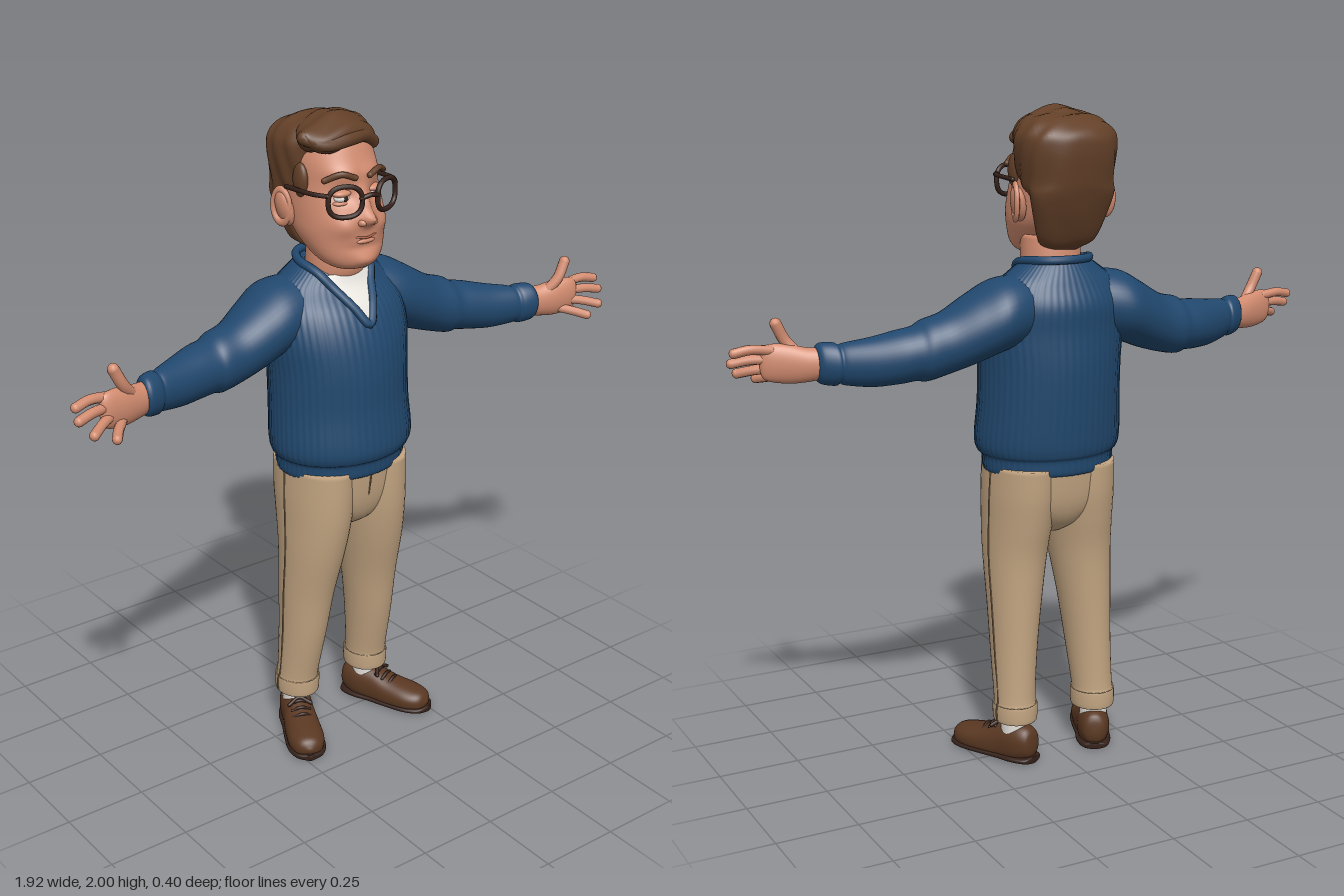
import * as THREE from 'three';

const mat = (name, color, side = THREE.FrontSide) => {
  const m = new THREE.MeshStandardMaterial({ color, side });
  m.name = name;
  return m;
};
const M = {
  sweater: mat('navy wool', 0x21486e),
  trousers: mat('khaki', 0xc3a582),
  seam: mat('khaki seam', 0x8f7355),
  skin: mat('skin', 0xd28c70),
  lip: mat('lip', 0xa9614c),
  hair: mat('brown hair', 0x634028),
  shoe: mat('brown leather', 0x5a3822),
  dark: mat('dark brown', 0x35211a),
  white: mat('white cotton', 0xebe8e2, THREE.DoubleSide),
};
const V = (x, y, z) => new THREE.Vector3(x, y, z);
const bump = (x, y, cx, cy, sx, sy) => Math.exp(-(((x - cx) / sx) ** 2) - ((y - cy) / sy) ** 2);

function add(parent, name, geo, material) {
  const mesh = new THREE.Mesh(geo, material);
  mesh.name = name;
  parent.add(mesh);
  return mesh;
}

// Catmull-Rom blend of whole section rows
function sample(rows, u) {
  const i = Math.min(Math.floor(u), rows.length - 2), t = u - i;
  const [a, b, c, d] = [rows[Math.max(i - 1, 0)], rows[i], rows[i + 1], rows[Math.min(i + 2, rows.length - 1)]];
  return b.map((p, k) => p + 0.5 * t * (c[k] - a[k] + t * (2 * a[k] - 5 * p + 4 * c[k] - d[k] + t * (3 * (p - c[k]) + d[k] - a[k]))));
}

// Closed loft along an axis (0 x, 1 y, 2 z).
// Row: [position, centre A, centre B, radius A, radius B]; B is the next axis, A the one after.
function loft(axis, rows, { seg = 40, sub = 5, n = 2, ribs = 0, warp } = {}) {
  const pos = [], idx = [], rings = (rows.length - 1) * sub;
  const put = (t, a, b) => {
    const p = [0, 0, 0];
    p[axis] = t; p[(axis + 1) % 3] = b; p[(axis + 2) % 3] = a;
    const v = V(...p);
    if (warp) warp(v);
    pos.push(v.x, v.y, v.z);
  };
  const pw = (c) => Math.sign(c) * Math.abs(c) ** (2 / n);
  for (let i = 0; i <= rings; i++) {
    const [t, a, b, ra, rb] = sample(rows, i / sub);
    for (let j = 0; j < seg; j++) {
      const th = (j / seg) * Math.PI * 2, k = ribs ? 1 + 0.005 * Math.cos(th * ribs) : 1;
      put(t, a + Math.max(ra, 0.0005) * k * pw(Math.sin(th)), b + Math.max(rb, 0.0005) * k * pw(Math.cos(th)));
    }
  }
  const flip = rows[0][0] > rows[rows.length - 1][0];
  const tri = (a, b, c) => (flip ? idx.push(a, c, b) : idx.push(a, b, c));
  const first = rows[0], last = rows[rows.length - 1], c0 = (rings + 1) * seg;
  put(first[0], first[1], first[2]);
  put(last[0], last[1], last[2]);
  for (let j = 0; j < seg; j++) {
    const k = (j + 1) % seg;
    for (let i = 0; i < rings; i++) {
      const a = i * seg + j, b = i * seg + k;
      tri(a, b, a + seg);
      tri(b, b + seg, a + seg);
    }
    tri(c0, k, j);
    tri(c0 + 1, rings * seg + j, rings * seg + k);
  }
  const g = new THREE.BufferGeometry();
  g.setAttribute('position', new THREE.Float32BufferAttribute(pos, 3));
  g.setIndex(idx);
  g.computeVertexNormals();
  return g;
}

const tube = (pts, r, closed = false, n = 32) =>
  new THREE.TubeGeometry(new THREE.CatmullRomCurve3(pts, closed), n, r, 10, closed);
// Tube with round ends
function rod(parent, name, pts, r, material) {
  add(parent, name, tube(pts, r, false, 14), material);
  for (const p of [pts[0], pts[pts.length - 1]])
    add(parent, name + 'End', new THREE.SphereGeometry(r, 12, 8), material).position.copy(p);
}
function ball(parent, name, p, s, material) {
  const m = add(parent, name, new THREE.SphereGeometry(1, 28, 18), material);
  m.position.set(...p);
  m.scale.set(...s);
  return m;
}

const torsoRows = [
  [0.915, 0, 0.005, 0.19, 0.15], [0.925, 0, 0.007, 0.204, 0.168], [0.965, 0, 0.008, 0.207, 0.172],
  [0.98, 0, 0.01, 0.22, 0.184], [1.02, 0, 0.01, 0.228, 0.192], [1.13, 0, 0, 0.222, 0.19],
  [1.25, 0, -0.005, 0.222, 0.19], [1.35, 0, -0.012, 0.23, 0.178], [1.43, 0, -0.03, 0.222, 0.16],
  [1.49, 0, -0.045, 0.19, 0.12], [1.53, 0, -0.045, 0.14, 0.1], [1.555, 0, -0.045, 0.105, 0.085]];

// Depth of the sweater front at a point
function chestZ(x, y) {
  let lo = 0, hi = torsoRows.length - 1;
  for (let i = 0; i < 30; i++) {
    const mid = (lo + hi) / 2;
    if (sample(torsoRows, mid)[0] < y) lo = mid; else hi = mid;
  }
  const [, , cz, rx, rz] = sample(torsoRows, lo);
  return cz + rz * Math.sqrt(Math.max(0, 1 - (x / rx) ** 2));
}

function buildTorso(g) {
  add(g, 'sweaterBody', loft(1, torsoRows, { seg: 240, ribs: 60 }), M.sweater);
  add(g, 'neck', loft(1, [[1.45, 0, -0.03, 0.09, 0.07], [1.5, 0, -0.025, 0.09, 0.08], [1.54, 0, -0.015, 0.092, 0.086], [1.63, 0, -0.01, 0.09, 0.08]]), M.skin);
  // Shirt showing in the V
  const shirt = new THREE.PlaneGeometry(2, 1, 16, 12), p = shirt.attributes.position;
  for (let i = 0; i < p.count; i++) {
    const t = p.getY(i) + 0.5, y = 1.4 + 0.13 * t, x = p.getX(i) * 0.088 * t;
    p.setXYZ(i, x, y, chestZ(x, y) + 0.006);
  }
  shirt.computeVertexNormals();
  add(g, 'shirtFront', shirt, M.white);
  const on = (x, y) => V(x, y, chestZ(x, y) + 0.004);
  add(g, 'sweaterCollar', tube([on(0, 1.395), on(0.035, 1.445), on(0.068, 1.495), on(0.094, 1.535), V(0.105, 1.557, -0.05),
    V(0.065, 1.562, -0.115), V(0, 1.563, -0.135), V(-0.065, 1.562, -0.115), V(-0.105, 1.557, -0.05),
    on(-0.094, 1.535), on(-0.068, 1.495), on(-0.035, 1.445)], 0.013, true, 96), M.sweater);
}

function buildArm(g, s) {
  // The left arm hangs slightly lower
  const dy = (x) => (s > 0 ? -0.03 * THREE.MathUtils.smoothstep(x, 0.3, 0.7) : 0);
  const rows = (list) => list.map(([x, z, y, rz, ry]) => [s * x, z, y + dy(x), rz, ry]);
  const P = (x, y, z) => V(s * x, y + dy(x), z);
  add(g, 'sleeve', loft(0, rows([[0.1, -0.05, 1.42, 0.1, 0.1], [0.2, -0.055, 1.405, 0.125, 0.108], [0.28, -0.045, 1.37, 0.113, 0.103],
    [0.36, -0.034, 1.335, 0.093, 0.092], [0.42, -0.027, 1.322, 0.088, 0.09], [0.45, -0.022, 1.318, 0.08, 0.08],
    [0.5, -0.012, 1.315, 0.076, 0.078], [0.57, 0.01, 1.311, 0.065, 0.072], [0.64, 0.036, 1.313, 0.051, 0.062],
    [0.657, 0.043, 1.314, 0.046, 0.056], [0.67, 0.048, 1.315, 0.051, 0.063], [0.705, 0.061, 1.318, 0.046, 0.06],
    [0.718, 0.065, 1.318, 0.036, 0.047]])), M.sweater);
  const hand = new THREE.Group();
  hand.name = s > 0 ? 'leftHand' : 'rightHand';
  g.add(hand);
  add(hand, 'palm', loft(0, rows([[0.69, 0.06, 1.318, 0.033, 0.044], [0.74, 0.073, 1.316, 0.034, 0.05], [0.79, 0.088, 1.32, 0.031, 0.057],
    [0.84, 0.1, 1.325, 0.024, 0.055], [0.865, 0.104, 1.327, 0.014, 0.042], [0.872, 0.105, 1.328, 0.002, 0.01]])), M.skin);
  const fingers = { index: [P(0.84, 1.362, 0.095), P(0.9, 1.368, 0.1), P(0.945, 1.36, 0.108)],
    middle: [P(0.84, 1.336, 0.1), P(0.9, 1.336, 0.115), P(0.948, 1.328, 0.128)],
    ring: [P(0.83, 1.31, 0.1), P(0.88, 1.303, 0.13), P(0.922, 1.292, 0.16)],
    pinky: [P(0.8, 1.288, 0.098), P(0.838, 1.278, 0.14), P(0.862, 1.27, 0.173)] };
  for (const [name, pts] of Object.entries(fingers)) rod(hand, name + 'Finger', pts, 0.0145, M.skin);
  rod(hand, 'thumb', [P(0.755, 1.34, 0.082), P(0.795, 1.385, 0.1), P(0.822, 1.437, 0.1)], 0.017, M.skin);
}

function buildLeg(g, s) {
  const rows = [[0.128, 0.137, -0.037, 0.06, 0.068], [0.135, 0.137, -0.037, 0.067, 0.074], [0.183, 0.137, -0.036, 0.068, 0.075],
    [0.195, 0.137, -0.034, 0.063, 0.069], [0.35, 0.13, -0.015, 0.07, 0.085], [0.5, 0.122, -0.003, 0.081, 0.099],
    [0.65, 0.112, 0.012, 0.093, 0.122], [0.76, 0.104, 0.012, 0.1, 0.143], [0.85, 0.1, 0.008, 0.103, 0.155], [0.94, 0.098, 0.006, 0.1, 0.16]];
  add(g, 'trouserLeg', loft(1, rows.map(([y, x, ...r]) => [y, s * x, ...r])), M.trousers);
  add(g, 'sideSeam', tube(rows.map(([y, x, z, rx]) => V(s * (x + rx), y, z - 0.01)), 0.0025, false, 60), M.seam);
  // Foot turned outward
  const foot = new THREE.Group();
  foot.name = s > 0 ? 'leftFoot' : 'rightFoot';
  foot.position.set(s * 0.14, 0, -0.04);
  foot.rotation.y = s * 0.43;
  g.add(foot);
  const sock = add(foot, 'sock', new THREE.CylinderGeometry(0.046, 0.042, 0.1, 28), M.white);
  sock.position.y = 0.11;
  const shoe = [[-0.076, 0.05, 0, 0.01, 0.01], [-0.065, 0.06, 0, 0.045, 0.036], [-0.02, 0.055, 0, 0.064, 0.05], [0.04, 0.045, 0, 0.065, 0.051],
    [0.1, 0.035, 0, 0.053, 0.056], [0.17, 0.032, 0, 0.042, 0.057], [0.215, 0.03, 0, 0.032, 0.04], [0.233, 0.03, 0, 0.006, 0.008]];
  add(foot, 'shoe', loft(2, shoe, { n: 2.2, warp: (v) => { v.y = Math.max(v.y, 0.012); } }), M.shoe);
  add(foot, 'sole', loft(2, shoe.map(([z, , x, , rx]) => [z * 1.03, 0.01, x, 0.01, rx + 0.004]), { n: 3 }), M.dark);
  for (let i = 0; i < 3; i++) {
    const z = 0.055 + i * 0.024, y = 0.109 - i * 0.01;
    rod(foot, 'lace', [V(-0.028, y - 0.012, z), V(0, y, z + 0.004), V(0.028, y - 0.012, z)], 0.005, M.dark);
  }
  rod(foot, 'bow', [V(-0.035, 0.1, 0.065), V(0, 0.114, 0.05), V(0.035, 0.1, 0.065)], 0.006, M.dark);
}

function faceWarp(v) {
  if (v.z < 0.02) return;
  const ax = Math.abs(v.x), w = THREE.MathUtils.smoothstep(v.z, 0.02, 0.08);
  v.z += w * (0.036 * bump(v.x, v.y, 0, 1.717, 0.024, 0.02) + 0.022 * bump(v.x, v.y, 0, 1.755, 0.017, 0.035)
    + 0.012 * bump(ax, v.y, 0.07, 1.695, 0.035, 0.03) - 0.014 * bump(ax, v.y, 0.056, 1.782, 0.03, 0.02)
    + 0.01 * bump(ax, v.y, 0.05, 1.84, 0.05, 0.02) + 0.012 * bump(v.x, v.y, 0, 1.592, 0.04, 0.02)
    - 0.006 * bump(v.x, v.y, 0, 1.632, 0.05, 0.012));
}

function buildHead(g) {
  add(g, 'face', loft(1, [[1.556, 0, 0.085, 0.012, 0.012], [1.568, 0, 0.08, 0.065, 0.055], [1.6, 0, 0.058, 0.102, 0.093], [1.66, 0, 0.02, 0.126, 0.132],
    [1.72, 0, 0, 0.13, 0.15], [1.8, 0, -0.02, 0.125, 0.15], [1.88, 0, -0.03, 0.12, 0.14], [1.95, 0, -0.03, 0.085, 0.1], [1.975, 0, -0.03, 0.01, 0.01]],
    { seg: 100, sub: 9, n: 2.15, warp: faceWarp }), M.skin);
  // Hair: back and sides, then the swept quiff
  const locks = (v) => { v.x += 0.003 * Math.sin(v.z * 110 + v.y * 30); v.y += 0.002 * Math.sin(v.z * 90 + v.x * 40); };
  add(g, 'backHair', loft(1, [[1.585, 0, -0.075, 0.04, 0.012], [1.61, 0, -0.085, 0.085, 0.035], [1.68, 0, -0.105, 0.112, 0.048], [1.75, 0, -0.115, 0.132, 0.064],
    [1.795, 0, -0.085, 0.14, 0.105], [1.88, 0, -0.078, 0.15, 0.122], [1.93, 0, -0.07, 0.142, 0.12], [1.97, 0, -0.055, 0.1, 0.08], [1.982, 0, -0.05, 0.01, 0.01]],
    { seg: 64, sub: 7, n: 2.4, warp: locks }), M.hair);
  add(g, 'quiff', loft(0, [[-0.158, 0.065, 1.955, 0.006, 0.006], [-0.145, 0.055, 1.945, 0.035, 0.024], [-0.1, 0.035, 1.938, 0.075, 0.042], [-0.02, 0.01, 1.943, 0.1, 0.055],
    [0.05, -0.005, 1.935, 0.1, 0.048], [0.1, -0.02, 1.915, 0.08, 0.04], [0.132, -0.02, 1.89, 0.01, 0.01]],
    { seg: 48, sub: 8, warp: (v) => { v.y += 0.004 * Math.sin(v.z * 80 + v.x * 25); } }), M.hair);
  rod(g, 'frontLock', [V(-0.15, 1.95, 0.06), V(-0.1, 1.93, 0.095), V(-0.03, 1.937, 0.105), V(0.04, 1.935, 0.085), V(0.09, 1.905, 0.06)], 0.02, M.hair);

  for (const s of [-1, 1]) {
    // Ears, eyes and brows
    ball(g, 'sideburn', [s * 0.122, 1.815, 0.005], [0.018, 0.05, 0.03], M.hair);
    ball(g, 'ear', [s * 0.14, 1.725, -0.05], [0.02, 0.055, 0.034], M.skin).rotation.set(-0.2, 0, -s * 0.2);
    const rim = add(g, 'earRim', new THREE.TorusGeometry(0.03, 0.008, 8, 28), M.skin);
    rim.position.set(s * 0.15, 1.73, -0.052);
    rim.rotation.y = s * (Math.PI / 2 - 0.3);
    rim.scale.set(1, 1.6, 1);
    ball(g, 'eye', [s * 0.055, 1.775, 0.108], [0.025, 0.014, 0.018], M.white);
    ball(g, 'pupil', [s * 0.053, 1.775, 0.122], [0.009, 0.01, 0.005], M.dark);
    ball(g, 'upperLid', [s * 0.055, 1.788, 0.107], [0.031, 0.012, 0.022], M.skin);
    ball(g, 'lowerLid', [s * 0.055, 1.761, 0.107], [0.03, 0.009, 0.02], M.skin);
    rod(g, 'eyebrow', [V(s * 0.026, 1.833, 0.133), V(s * 0.065, 1.846, 0.122), V(s * 0.104, 1.828, 0.092)], 0.009, M.hair);
    ball(g, 'nostrilWing', [s * 0.02, 1.708, 0.155], [0.013, 0.012, 0.018], M.skin);
    // Glasses rim and temple, wrapped around the face
    const pts = [];
    for (let i = 0; i < 24; i++) {
      const a = (i / 24) * Math.PI * 2, q = (c) => Math.sign(c) * Math.abs(c) ** 0.8;
      const x = 0.073 + 0.046 * q(Math.cos(a));
      pts.push(V(s * x, 1.775 + 0.044 * q(Math.sin(a)), 0.178 - 0.4 * x));
    }
    add(g, 'glassesRim', tube(pts, 0.0075, true, 64), M.dark);
    rod(g, 'glassesTemple', [V(s * 0.12, 1.795, 0.13), V(s * 0.142, 1.796, 0.09), V(s * 0.147, 1.792, -0.03)], 0.007, M.dark);
  }
  rod(g, 'glassesBridge', [V(-0.03, 1.783, 0.167), V(0, 1.79, 0.174), V(0.03, 1.783, 0.167)], 0.007, M.dark);
  rod(g, 'mouth', [V(-0.042, 1.667, 0.145), V(0, 1.661, 0.156), V(0.042, 1.667, 0.145)], 0.0035, M.lip);
  ball(g, 'lowerLip', [0, 1.65, 0.148], [0.032, 0.008, 0.01], M.skin);
}

export function createModel() {
  const model = new THREE.Group();
  model.name = 'standingMan';
  const part = (name, build, ...args) => {
    const g = new THREE.Group();
    g.name = name;
    build(g, ...args);
    model.add(g);
    return g;
  };
  part('torso', buildTorso);
  for (const s of [-1, 1]) {
    part(s > 0 ? 'leftArm' : 'rightArm', buildArm, s);
    part(s > 0 ? 'leftLeg' : 'rightLeg', buildLeg, s);
  }
  // Trouser seat joining both legs
  part('seat', (g) => {
    add(g, 'trouserSeat', loft(1, [[0.72, 0, 0.01, 0.03, 0.06], [0.76, 0, 0.008, 0.1, 0.115], [0.83, 0, 0.006, 0.185, 0.145], [0.94, 0, 0.006, 0.198, 0.16]], { n: 2.3 }), M.trousers);
    add(g, 'flySeam', tube([V(0, 0.92, 0.166), V(0, 0.85, 0.153), V(0, 0.78, 0.128)], 0.0025), M.seam);
  });
  part('head', buildHead).position.x = -0.014;
  return model;
}
